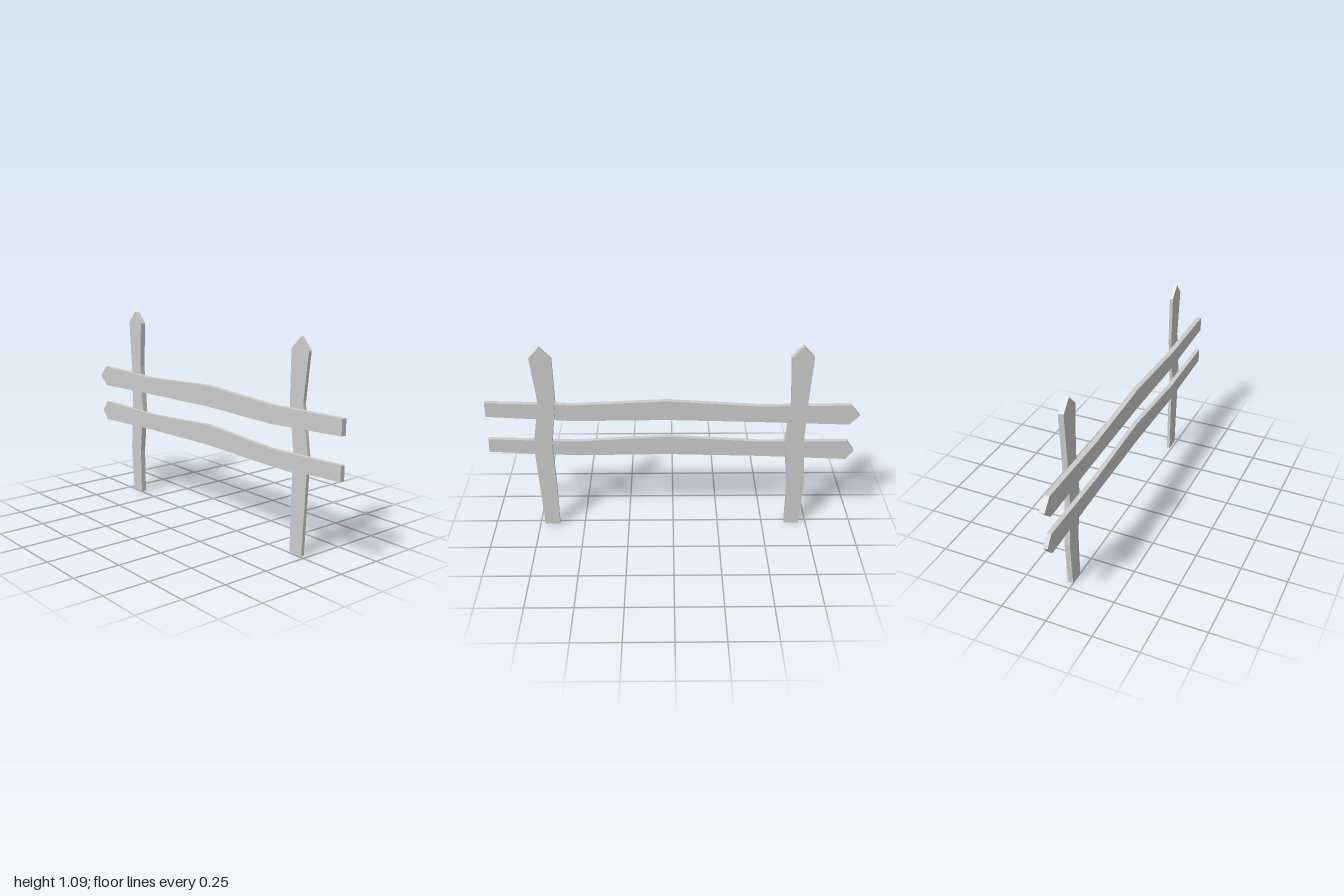
import * as THREE from 'three';

const material = new THREE.MeshStandardMaterial({ color: 0xcccccc, flatShading: true });

// Flat plank: an outline of [z, y] corners, given thickness from x0 to x1
function plank(name, outline, x0, x1) {
  const shape = new THREE.Shape(outline.map(([z, y]) => new THREE.Vector2(-z, y)));
  const geometry = new THREE.ExtrudeGeometry(shape, { depth: x1 - x0, bevelEnabled: false });
  geometry.rotateY(Math.PI / 2).translate(x0, 0, 0);
  const mesh = new THREE.Mesh(geometry, material);
  mesh.name = name;
  return mesh;
}

// Post outline: [y, front z, back z] per level, then a pointed top
function postOutline(levels, tip) {
  const front = levels.map(([y, f]) => [f, y]);
  const back = levels.map(([y, , b]) => [b, y]).reverse();
  return [...front, tip, ...back];
}

// Rail outline: [z, top y, bottom y] per station, then a pointed rear end
function railOutline(stations, tip) {
  const top = stations.map(([z, t]) => [z, t]);
  const bottom = stations.map(([z, , b]) => [z, b]).reverse();
  return [...top, tip, ...bottom];
}

export function createModel() {
  const fence = new THREE.Group();
  fence.name = 'fence';

  // Crooked posts on the left side of the rails; the front one is thinner
  fence.add(plank('frontPost', postOutline([
    [0, 0.724, 0.641], [0.26, 0.737, 0.643], [0.51, 0.751, 0.652],
    [0.77, 0.711, 0.62], [1.025, 0.74, 0.624],
  ], [0.685, 1.087]), 0.012, 0.03));
  fence.add(plank('backPost', postOutline([
    [0, -0.629, -0.709], [0.26, -0.631, -0.725], [0.51, -0.602, -0.705],
    [0.77, -0.623, -0.711], [1.025, -0.609, -0.726],
  ], [-0.668, 1.087]), 0, 0.03));

  // Wavy rails
  fence.add(plank('upperRail', railOutline([
    [1, 0.753, 0.672], [0.53, 0.739, 0.644], [0.033, 0.76, 0.648],
    [-0.465, 0.728, 0.633], [-0.947, 0.731, 0.615],
  ], [-1, 0.67]), -0.032, -0.004));
  fence.add(plank('lowerRail', railOutline([
    [1, 0.534, 0.456], [0.53, 0.517, 0.431], [0.033, 0.545, 0.436],
    [-0.465, 0.512, 0.422], [-0.947, 0.512, 0.399],
  ], [-0.988, 0.453]), -0.029, -0.004));

  return fence;
}
